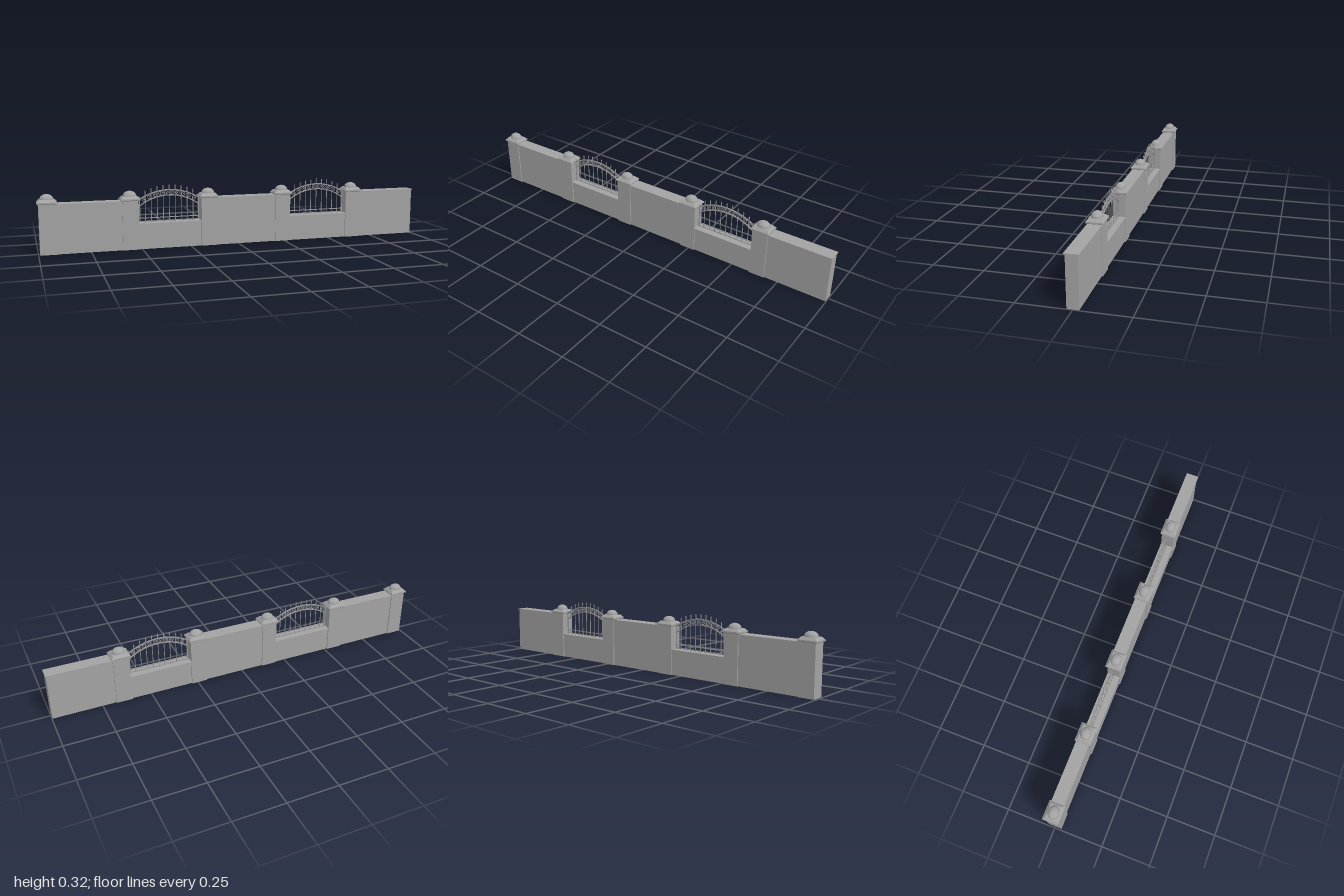
import * as THREE from 'three';

const stone = new THREE.MeshStandardMaterial({ color: 0xa2a2a2 });
stone.name = 'grey stone';
const iron = new THREE.MeshStandardMaterial({ color: 0x969696 });
iron.name = 'grey iron';

function add(parent, name, geometry, material, x = 0, y = 0, z = 0) {
  const mesh = new THREE.Mesh(geometry, material);
  mesh.name = name;
  mesh.position.set(x, y, z);
  parent.add(mesh);
  return mesh;
}

// Box given by its x range, y range and depth
function block(parent, name, x0, x1, y0, y1, depth, material = stone) {
  return add(parent, name, new THREE.BoxGeometry(x1 - x0, y1 - y0, depth), material, (x0 + x1) / 2, (y0 + y1) / 2);
}

// Rectangular frustum with flat faces, standing on y = 0
function frustum(w0, d0, w1, d1, h) {
  const g = new THREE.BoxGeometry(1, h, 1).translate(0, h / 2, 0);
  const p = g.attributes.position;
  for (let i = 0; i < p.count; i++) {
    const top = p.getY(i) > h / 2;
    p.setX(i, p.getX(i) * (top ? w1 : w0));
    p.setZ(i, p.getZ(i) * (top ? d1 : d0));
  }
  g.computeVertexNormals();
  return g;
}

function makePillar() {
  const g = new THREE.Group();
  g.name = 'pillar';
  block(g, 'pillarShaft', -0.04, 0.04, 0, 0.245, 0.066);
  add(g, 'capUnderside', frustum(0.086, 0.072, 0.095, 0.08, 0.003), stone, 0, 0.245);
  block(g, 'capSlab', -0.0475, 0.0475, 0.248, 0.255, 0.08);
  add(g, 'capSlope', frustum(0.092, 0.077, 0.07, 0.056, 0.012), stone, 0, 0.255);
  const dome = new THREE.SphereGeometry(1, 28, 10, 0, Math.PI * 2, 0, Math.PI / 2);
  add(g, 'dome', dome.scale(0.033, 0.025, 0.027), stone, 0, 0.267);
  return g;
}

// Wall panel with an overhanging coping
function makeWall(x0, x1, height, end = 0) {
  const g = new THREE.Group();
  g.name = 'wallPanel';
  block(g, 'wall', x0, x1, 0, height - 0.006, 0.054);
  block(g, 'coping', x0, x1 + end, height - 0.006, height, 0.066);
  return g;
}

const SPAN = 0.152, ARCH_R = 0.279, ARCH_Y = 0.293 - ARCH_R;

// Curved flat band of the arch
function archBand(r, t) {
  const a = Math.asin(SPAN / r), s = new THREE.Shape();
  s.absarc(0, 0, r, Math.PI / 2 - a, Math.PI / 2 + a, false);
  s.absarc(0, 0, r - t, Math.PI / 2 + a, Math.PI / 2 - a, true);
  return new THREE.ExtrudeGeometry(s, { depth: 0.006, bevelEnabled: false, curveSegments: 24 }).translate(0, 0, -0.003);
}

function makeGrille() {
  const g = new THREE.Group();
  g.name = 'grille';
  add(g, 'upperArch', archBand(ARCH_R, 0.005), iron, 0, ARCH_Y);
  add(g, 'lowerArch', archBand(ARCH_R - 0.027, 0.005), iron, 0, ARCH_Y);
  block(g, 'bottomRail', -0.155, 0.155, 0.133, 0.137, 0.005, iron);
  block(g, 'middleRail', -0.155, 0.155, 0.15, 0.154, 0.005, iron);

  // Bars rise through the arch and end in beaded spikes
  for (let i = -4; i <= 4; i++) {
    const x = i * 0.0305;
    const top = ARCH_Y + Math.sqrt(ARCH_R ** 2 - x * x) + 0.018;
    add(g, 'bar', new THREE.CylinderGeometry(0.0019, 0.0019, top - 0.128, 8), iron, x, (top + 0.128) / 2);
    add(g, 'spikeTip', new THREE.ConeGeometry(0.003, 0.01, 8), iron, x, top + 0.004);
    add(g, 'spikeBead', new THREE.SphereGeometry(0.003, 8, 6), iron, x, top - 0.006);
  }

  // Ring ornaments between the two bands
  const mid = ARCH_R - 0.016;
  for (let i = 0; i < 10; i++) {
    const a = (i - 4.5) * 0.112;
    const x = Math.sin(a) * mid, y = ARCH_Y + Math.cos(a) * mid;
    add(g, 'ring', new THREE.TorusGeometry(0.0088, 0.0017, 6, 18), iron, x, y);
    add(g, 'ringCentre', new THREE.SphereGeometry(0.003, 8, 6), iron, x, y);
  }

  // Side posts with a small curl on top
  for (const s of [-1, 1]) {
    block(g, 'sidePost', s * 0.15 - 0.0025, s * 0.15 + 0.0025, 0.128, 0.25, 0.006, iron);
    add(g, 'postCurl', new THREE.TorusGeometry(0.005, 0.0017, 6, 14), iron, s * 0.152, 0.254);
  }
  return g;
}

export function createModel() {
  const model = new THREE.Group();
  model.name = 'fenceWall';

  const pillars = [-0.9525, -0.555, -0.156, 0.242, 0.64];
  for (const x of pillars) {
    const pillar = makePillar();
    pillar.position.x = x;
    model.add(pillar);
  }

  // Panels alternate between full height and low with a grille
  pillars.forEach((x, i) => {
    const last = i === pillars.length - 1;
    const x1 = last ? 0.997 : pillars[i + 1] - 0.04;
    const low = i % 2 === 1;
    model.add(makeWall(x + 0.04, x1, low ? 0.13 : 0.245, last ? 0.003 : 0));
    if (low) {
      const grille = makeGrille();
      grille.position.x = (x + pillars[i + 1]) / 2;
      model.add(grille);
    }
  });
  return model;
}
